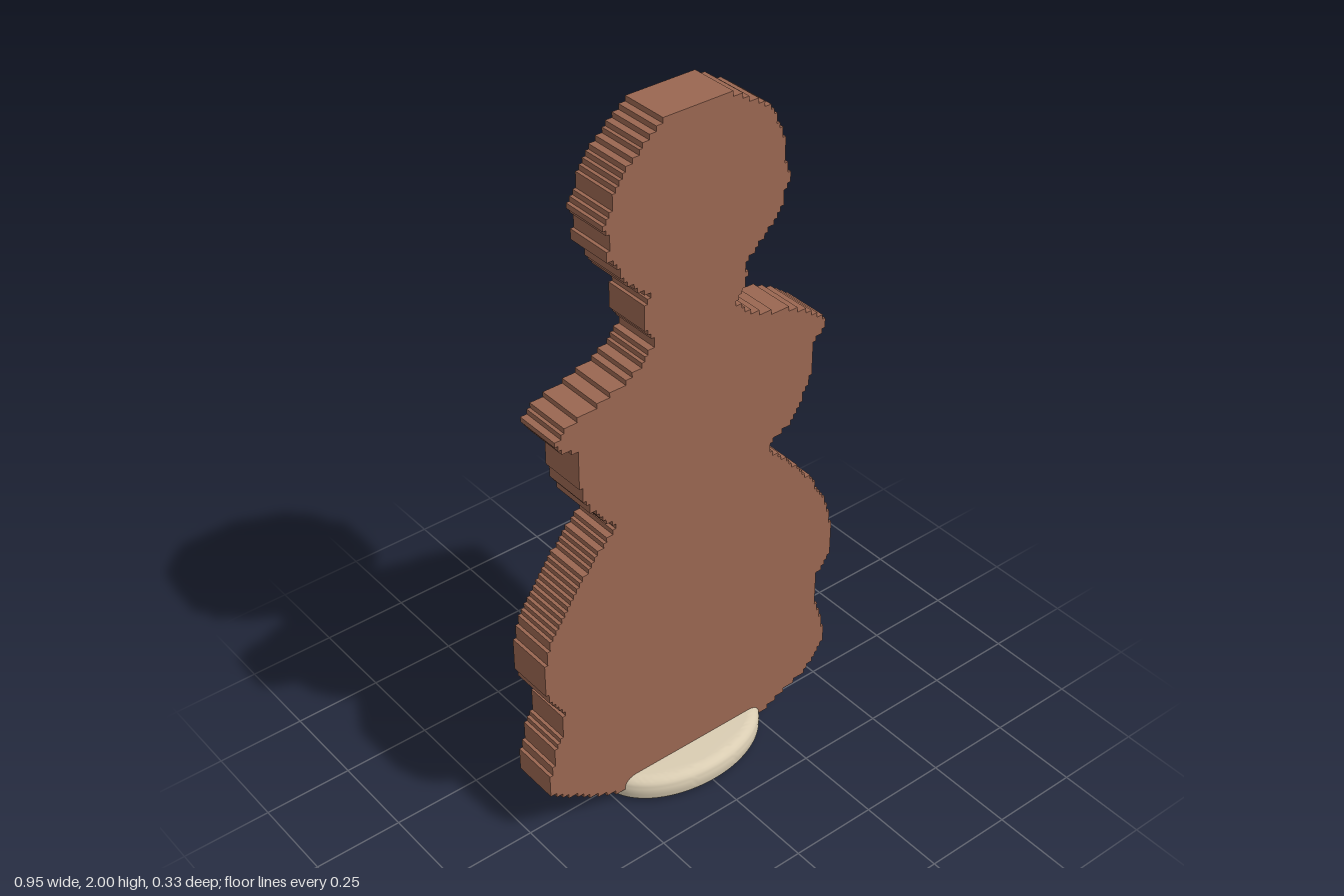
import * as THREE from 'three';
import { toCreasedNormals } from 'three/addons/utils/BufferGeometryUtils.js';

// Outline of each side as [x, y] pairs, from bottom to top
const rightEdge = [
  [0.25, 0.045], [0.30, 0.07], [0.34, 0.085], [0.40, 0.11], [0.44, 0.15], [0.465, 0.185],
  [0.465, 0.23], [0.45, 0.29], [0.43, 0.35], [0.425, 0.44], [0.45, 0.46], [0.472, 0.50],
  [0.472, 0.60], [0.45, 0.68], [0.42, 0.74], [0.38, 0.80], [0.32, 0.87], [0.27, 0.92],
  [0.24, 0.95], [0.25, 0.97], [0.31, 1.0], [0.35, 1.06], [0.375, 1.12], [0.38, 1.22],
  [0.41, 1.235], [0.425, 1.26], [0.40, 1.29], [0.36, 1.32], [0.30, 1.35], [0.22, 1.37],
  [0.17, 1.39], [0.14, 1.42], [0.12, 1.44], [0.14, 1.46], [0.16, 1.50], [0.15, 1.53],
  [0.18, 1.56], [0.22, 1.60], [0.26, 1.65], [0.265, 1.68], [0.285, 1.72], [0.27, 1.76],
  [0.27, 1.82], [0.25, 1.86], [0.235, 1.90], [0.20, 1.94], [0.165, 1.96], [0.12, 1.985], [0.09, 2],
];
const leftEdge = [
  [-0.25, 0.045], [-0.30, 0.07], [-0.36, 0.10], [-0.42, 0.14], [-0.475, 0.18], [-0.475, 0.23],
  [-0.455, 0.28], [-0.455, 0.32], [-0.43, 0.36], [-0.42, 0.44], [-0.45, 0.47], [-0.475, 0.53],
  [-0.475, 0.59], [-0.46, 0.67], [-0.42, 0.74], [-0.36, 0.82], [-0.30, 0.89], [-0.24, 0.95],
  [-0.28, 0.98], [-0.32, 1.03], [-0.345, 1.08], [-0.355, 1.22], [-0.40, 1.24], [-0.415, 1.27],
  [-0.38, 1.30], [-0.29, 1.325], [-0.21, 1.35], [-0.16, 1.38], [-0.12, 1.43], [-0.15, 1.47],
  [-0.155, 1.52], [-0.135, 1.56], [-0.17, 1.59], [-0.21, 1.63], [-0.23, 1.68], [-0.255, 1.70],
  [-0.245, 1.75], [-0.265, 1.79], [-0.24, 1.82], [-0.23, 1.87], [-0.20, 1.91], [-0.16, 1.94],
  [-0.13, 1.97], [-0.08, 2],
];

// x of an edge at a given height
function edgeAt(edge, y) {
  let i = 1;
  while (i < edge.length - 1 && edge[i][1] < y) i++;
  const [x0, y0] = edge[i - 1];
  const [x1, y1] = edge[i];
  return x0 + (x1 - x0) * (y - y0) / (y1 - y0);
}

// Turn an edge into a staircase of small square steps
function staircase(edge, bottom, top, rows) {
  const points = [];
  const h = (top - bottom) / rows;
  let last = null;
  for (let r = 0; r < rows; r++) {
    const y = bottom + r * h;
    const x = Math.round(edgeAt(edge, y + h / 2) / 0.0095) * 0.0095;
    if (x === last) continue;
    if (last !== null) points.push(new THREE.Vector2(last, y));
    points.push(new THREE.Vector2(x, y));
    last = x;
  }
  points.push(new THREE.Vector2(last, top));
  return points;
}

export function createModel() {
  const model = new THREE.Group();
  model.name = 'standingCutout';

  const brown = new THREE.MeshStandardMaterial({ color: 0x9a6651 });
  brown.name = 'brown';
  const cream = new THREE.MeshStandardMaterial({ color: 0xd9ccb2 });
  cream.name = 'cream';

  // Flat figure with a stepped outline
  const outline = [
    ...staircase(rightEdge, 0.045, 2, 140),
    ...staircase(leftEdge, 0.045, 2, 140).reverse(),
  ];
  const figureGeometry = new THREE.ExtrudeGeometry(new THREE.Shape(outline), {
    depth: 0.134, bevelEnabled: false,
  });
  figureGeometry.translate(0, 0, -0.067);
  const figure = new THREE.Mesh(figureGeometry, brown);
  figure.name = 'figure';
  model.add(figure);

  // Oval foot with rounded edges
  const bevel = 0.03;
  const oval = new THREE.Shape();
  oval.absellipse(0, 0, 0.255 - bevel, 0.167 - bevel, 0, Math.PI * 2);
  const footGeometry = new THREE.ExtrudeGeometry(oval, {
    depth: 0.08 - 2 * bevel, curveSegments: 64,
    bevelSize: bevel, bevelThickness: bevel, bevelSegments: 6,
  });
  footGeometry.rotateX(-Math.PI / 2).translate(0, bevel, 0);
  const foot = new THREE.Mesh(toCreasedNormals(footGeometry, 0.6), cream);
  foot.name = 'foot';
  model.add(foot);

  return model;
}
